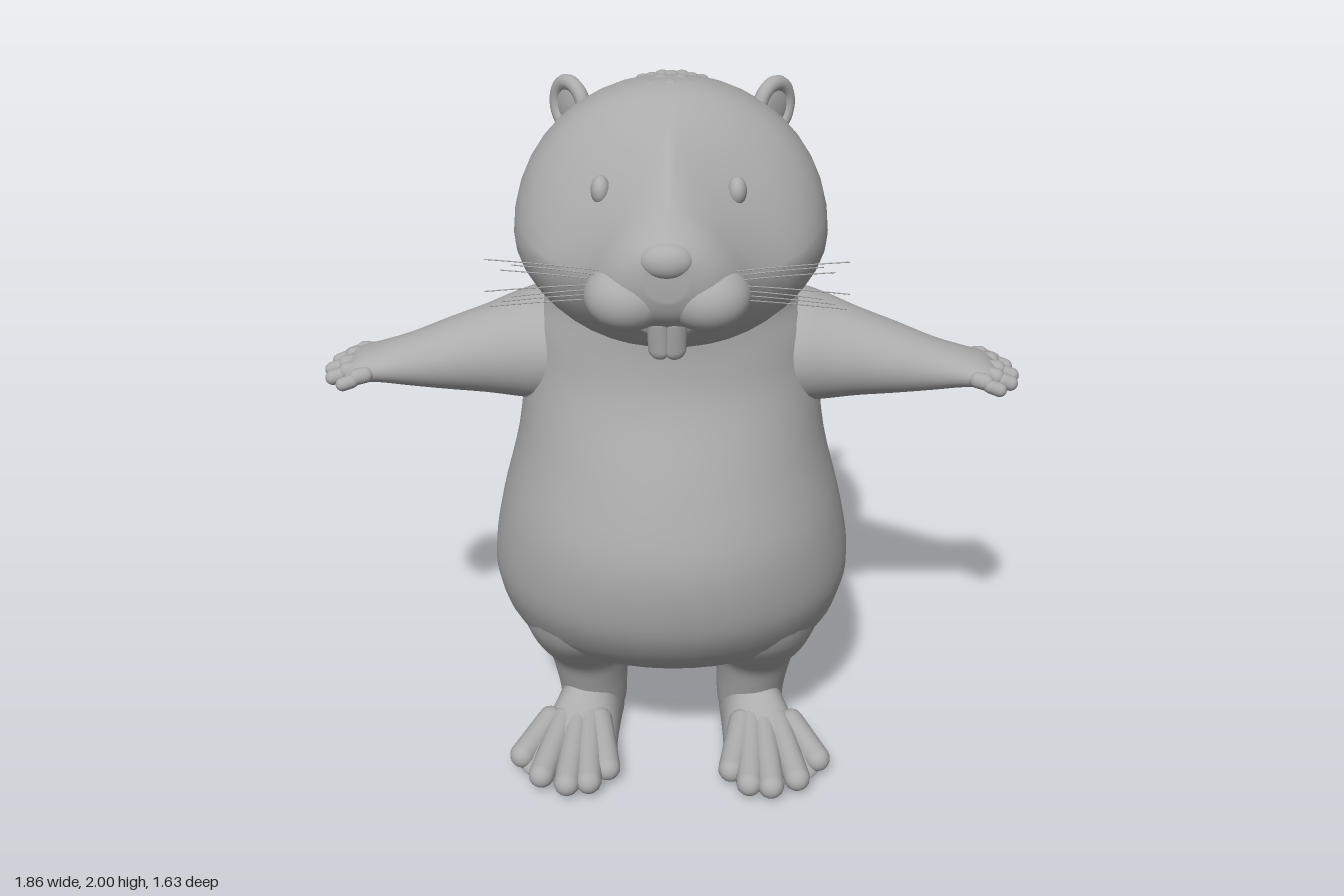
import * as THREE from 'three';

const fur = new THREE.MeshStandardMaterial({ color: 0xacacac });
fur.name = 'grey fur';

function add(parent, name, geometry) {
  const mesh = new THREE.Mesh(geometry, fur);
  mesh.name = name;
  parent.add(mesh);
  return mesh;
}

// Smooth loft through rows of section numbers; place(row, cos, sin) gives a surface point
function loft(rows, place, steps = 4, seg = 40) {
  const sections = [];
  const n = rows.length - 1;
  for (let i = 0; i <= n * steps; i++) {
    const k = Math.min(Math.floor(i / steps), n - 1), t = i / steps - k;
    const [a, b, c, d] = [k - 1, k, k + 1, k + 2].map(j => rows[Math.max(0, Math.min(n, j))]);
    sections.push(b.map((v, j) => {
      const m0 = (c[j] - a[j]) / 2, m1 = (d[j] - v) / 2, t2 = t * t, t3 = t2 * t;
      return (2 * t3 - 3 * t2 + 1) * v + (t3 - 2 * t2 + t) * m0 + (3 * t2 - 2 * t3) * c[j] + (t3 - t2) * m1;
    }));
  }
  const pos = [], index = [];
  for (const row of sections) {
    for (let i = 0; i < seg; i++) {
      const angle = i / seg * Math.PI * 2;
      pos.push(...place(row, Math.cos(angle), Math.sin(angle)));
    }
  }
  const last = (sections.length - 1) * seg;
  const centre = start => [0, 1, 2].map(a => {
    let sum = 0;
    for (let i = 0; i < seg; i++) sum += pos[(start + i) * 3 + a];
    return sum / seg;
  });
  const c0 = pos.length / 3, c1 = c0 + 1;
  pos.push(...centre(0), ...centre(last));
  for (let r = 0; r < sections.length - 1; r++) {
    for (let i = 0; i < seg; i++) {
      const a = r * seg + i, b = r * seg + (i + 1) % seg;
      index.push(a, b, a + seg, b, b + seg, a + seg);
    }
  }
  for (let i = 0; i < seg; i++) {
    const j = (i + 1) % seg;
    index.push(c0, j, i, c1, last + i, last + j);
  }
  // Turn the faces outward if the sections run the other way
  const p = i => new THREE.Vector3().fromArray(pos, i * 3);
  let volume = 0;
  for (let i = 0; i < index.length; i += 3) {
    volume += p(index[i]).dot(p(index[i + 1]).cross(p(index[i + 2])));
  }
  if (volume < 0) index.reverse();
  const g = new THREE.BufferGeometry();
  g.setAttribute('position', new THREE.Float32BufferAttribute(pos, 3));
  g.setIndex(index);
  g.computeVertexNormals();
  return g;
}

function ball(parent, name, at, size) {
  const mesh = add(parent, name, new THREE.SphereGeometry(1, 28, 20));
  mesh.position.set(...at);
  mesh.scale.set(...size);
  return mesh;
}

// Tapered rod with rounded ends between two points
function digit(parent, name, from, to, r, flat = 1) {
  const a = new THREE.Vector3(...from), b = new THREE.Vector3(...to);
  const length = a.distanceTo(b);
  const mesh = add(parent, name, new THREE.CapsuleGeometry(r, Math.max(0.01, length - 2 * r), 6, 14));
  mesh.position.copy(a).add(b).multiplyScalar(0.5);
  mesh.quaternion.setFromUnitVectors(new THREE.Vector3(0, 1, 0), b.sub(a).normalize());
  mesh.scale.z = flat;
  return mesh;
}

export function createModel() {
  const model = new THREE.Group();
  model.name = 'beaver';

  // Torso: y, front z, back z, half width
  add(model, 'torso', loft([
    [0.25, 0.2, 0.12, 0.04], [0.27, 0.33, 0.02, 0.19], [0.32, 0.43, -0.04, 0.34], [0.4, 0.54, -0.11, 0.44],
    [0.5, 0.63, -0.2, 0.485], [0.62, 0.685, -0.23, 0.5], [0.8, 0.7, -0.22, 0.47], [1, 0.64, -0.17, 0.42],
    [1.2, 0.56, -0.13, 0.395], [1.32, 0.54, -0.11, 0.375], [1.41, 0.54, -0.09, 0.335], [1.5, 0.53, -0.1, 0.33],
    [1.62, 0.45, -0.105, 0.27], [1.72, 0.3, -0.07, 0.18]
  ], ([y, f, b, w], c, s) => [w * c, y, (f + b) / 2 + (f - b) / 2 * s]));

  // Head: z, top, widest height, bottom, half width, roundness of the upper half
  const head = new THREE.Group();
  head.name = 'head';
  model.add(head);
  add(head, 'skull and snout', loft([
    [-0.115, 1.63, 1.6, 1.57, 0.03, 2], [-0.1, 1.72, 1.6, 1.49, 0.15, 2], [-0.05, 1.83, 1.6, 1.42, 0.25, 2],
    [0.05, 1.92, 1.6, 1.36, 0.34, 2], [0.17, 1.975, 1.6, 1.34, 0.395, 2], [0.3, 1.995, 1.6, 1.34, 0.405, 1.95],
    [0.4, 1.975, 1.6, 1.34, 0.385, 1.7], [0.5, 1.925, 1.6, 1.355, 0.335, 1.35], [0.58, 1.875, 1.6, 1.4, 0.275, 1.3],
    [0.66, 1.825, 1.61, 1.46, 0.21, 1.45], [0.73, 1.785, 1.62, 1.51, 0.165, 1.7], [0.78, 1.75, 1.64, 1.56, 0.11, 1.9],
    [0.8, 1.72, 1.66, 1.61, 0.05, 2]
  ], ([z, top, mid, bottom, w, p], c, s) => {
    const e = s > 0 ? 2 / p : 1;
    return [w * Math.sign(c) * Math.abs(c) ** e, s > 0 ? mid + (top - mid) * s ** e : mid + (mid - bottom) * s, z];
  }));
  ball(head, 'nose', [0, 1.705, 0.775], [0.065, 0.045, 0.04]);
  ball(head, 'lower lip', [0, 1.515, 0.67], [0.085, 0.05, 0.065]);
  for (const s of [-1, 1]) {
    ball(head, 'muzzle cheek', [s * 0.095, 1.59, 0.71], [0.105, 0.085, 0.095]);
    ball(head, 'eye', [s * 0.165, 1.79, 0.535], [0.024, 0.036, 0.033]);
    digit(head, 'front tooth', [s * 0.024, 1.55, 0.735], [s * 0.02, 1.425, 0.715], 0.027, 0.6);

    // Ear: a flat cup with a rolled rim
    const ear = new THREE.Group();
    ear.name = 'ear';
    ear.position.set(s * 0.262, 1.885, 0.165);
    ear.rotation.set(0, s * 0.85, -s * 0.25);
    head.add(ear);
    ball(ear, 'ear cup', [0, 0, -0.01], [0.07, 0.075, 0.024]);
    add(ear, 'ear rim', new THREE.TorusGeometry(0.058, 0.019, 12, 32)).scale.y = 1.08;

    // Whiskers fan out sideways
    for (let i = 0; i < 7; i++) {
      const a = -0.25 + i * 0.085;
      const start = new THREE.Vector3(s * 0.16, 1.585 + i * 0.012, 0.72);
      const end = new THREE.Vector3(s * (0.43 - 0.03 * (i % 3)), 1.61 + a * 0.28, 0.67 + 0.025 * (i % 4));
      const middle = start.clone().lerp(end, 0.5).add(new THREE.Vector3(0, 0.01, 0.015));
      const curve = new THREE.QuadraticBezierCurve3(start, middle, end);
      add(head, 'whisker', new THREE.TubeGeometry(curve, 8, 0.0015, 5));
    }
  }

  // Small overlapping tufts on the crown and the nape
  for (let i = 0; i < 5; i++) {
    for (let j = -2; j <= 2; j++) {
      const x = (j + (i % 2) * 0.5) * 0.05, z = 0.3 - i * 0.055;
      ball(head, 'crown tuft', [x, 1.985 - 0.9 * (z - 0.3) ** 2 - x * x * 2.2, z], [0.02, 0.012, 0.032]);
    }
  }
  for (let i = 0; i < 6; i++) {
    for (const j of [-1, 0, 1]) {
      ball(model, 'nape tuft', [j * 0.06, 1.4 + i * 0.055, -0.085 + Math.abs(j) * 0.012 + (i > 4 ? 0.02 : 0)], [0.025, 0.035, 0.016]);
    }
  }

  // Tail: z, top, bottom, half width
  add(model, 'tail', loft([
    [0, 0.44, 0.29, 0.15], [-0.08, 0.5, 0.255, 0.21], [-0.2, 0.53, 0.185, 0.265], [-0.3, 0.485, 0.125, 0.305],
    [-0.45, 0.405, 0.055, 0.33], [-0.58, 0.335, 0.02, 0.31], [-0.69, 0.26, 0.004, 0.245], [-0.77, 0.19, 0.004, 0.15],
    [-0.81, 0.13, 0.025, 0.065], [-0.82, 0.085, 0.065, 0.01]
  ], ([z, t, b, w], c, s) => [w * c, (t + b) / 2 + (t - b) / 2 * s, z]));

  for (const s of [-1, 1]) {
    // Arm and palm: x, y, z, half height, half depth
    const arm = new THREE.Group();
    arm.name = s > 0 ? 'left arm' : 'right arm';
    model.add(arm);
    add(arm, 'arm', loft([
      [0.22, 1.25, 0.22, 0.15, 0.17], [0.34, 1.245, 0.22, 0.155, 0.175], [0.42, 1.24, 0.23, 0.14, 0.155],
      [0.5, 1.235, 0.25, 0.118, 0.13], [0.6, 1.225, 0.265, 0.094, 0.112], [0.7, 1.215, 0.28, 0.068, 0.092],
      [0.78, 1.21, 0.287, 0.048, 0.088], [0.84, 1.205, 0.293, 0.033, 0.092], [0.875, 1.195, 0.295, 0.018, 0.065]
    ], ([x, y, z, h, d], c, v) => [s * x, y + h * v, z + d * c]));
    for (const [x, z, r] of [[0.895, 0.2, 0.022], [0.92, 0.245, 0.024], [0.93, 0.3, 0.024], [0.92, 0.35, 0.024], [0.885, 0.39, 0.022]]) {
      digit(arm, 'finger', [s * 0.79, 1.21, 0.29 + (z - 0.295) * 0.75], [s * (x - 0.035), 1.205, z], r);
      digit(arm, 'fingertip', [s * (x - 0.06), 1.205, z], [s * x, 1.182, z], r * 0.85);
    }

    // Leg: y, x, z, half width, half depth
    const leg = new THREE.Group();
    leg.name = s > 0 ? 'left leg' : 'right leg';
    model.add(leg);
    add(leg, 'leg', loft([
      [0.56, 0.25, 0.24, 0.19, 0.32], [0.44, 0.25, 0.23, 0.185, 0.29], [0.34, 0.25, 0.21, 0.16, 0.23],
      [0.26, 0.245, 0.19, 0.125, 0.175], [0.18, 0.24, 0.19, 0.108, 0.142], [0.1, 0.235, 0.185, 0.1, 0.122],
      [0.04, 0.235, 0.18, 0.095, 0.112], [0.01, 0.235, 0.18, 0.075, 0.09]
    ], ([y, x, z, w, d], c, v) => [s * (x + w * c), y, z + d * v]));
    // Webbed foot: z, x, height, half width
    add(leg, 'foot', loft([
      [0.09, 0.235, 0.1, 0.05], [0.16, 0.235, 0.16, 0.09], [0.28, 0.25, 0.18, 0.1], [0.37, 0.27, 0.13, 0.115],
      [0.45, 0.29, 0.1, 0.135], [0.51, 0.29, 0.075, 0.135], [0.55, 0.285, 0.04, 0.1]
    ], ([z, x, h, w], c, v) => [s * (x + w * c), v > 0 ? 0.02 + (h - 0.02) * v : 0.02 + 0.015 * v, z]));
    for (const [x, z] of [[0.17, 0.575], [0.225, 0.635], [0.29, 0.645], [0.37, 0.61], [0.44, 0.52]]) {
      digit(leg, 'toe', [s * (0.25 + (x - 0.25) * 0.45), 0.095, 0.33], [s * x, 0.045, z], 0.037);
    }
  }
  return model;
}
